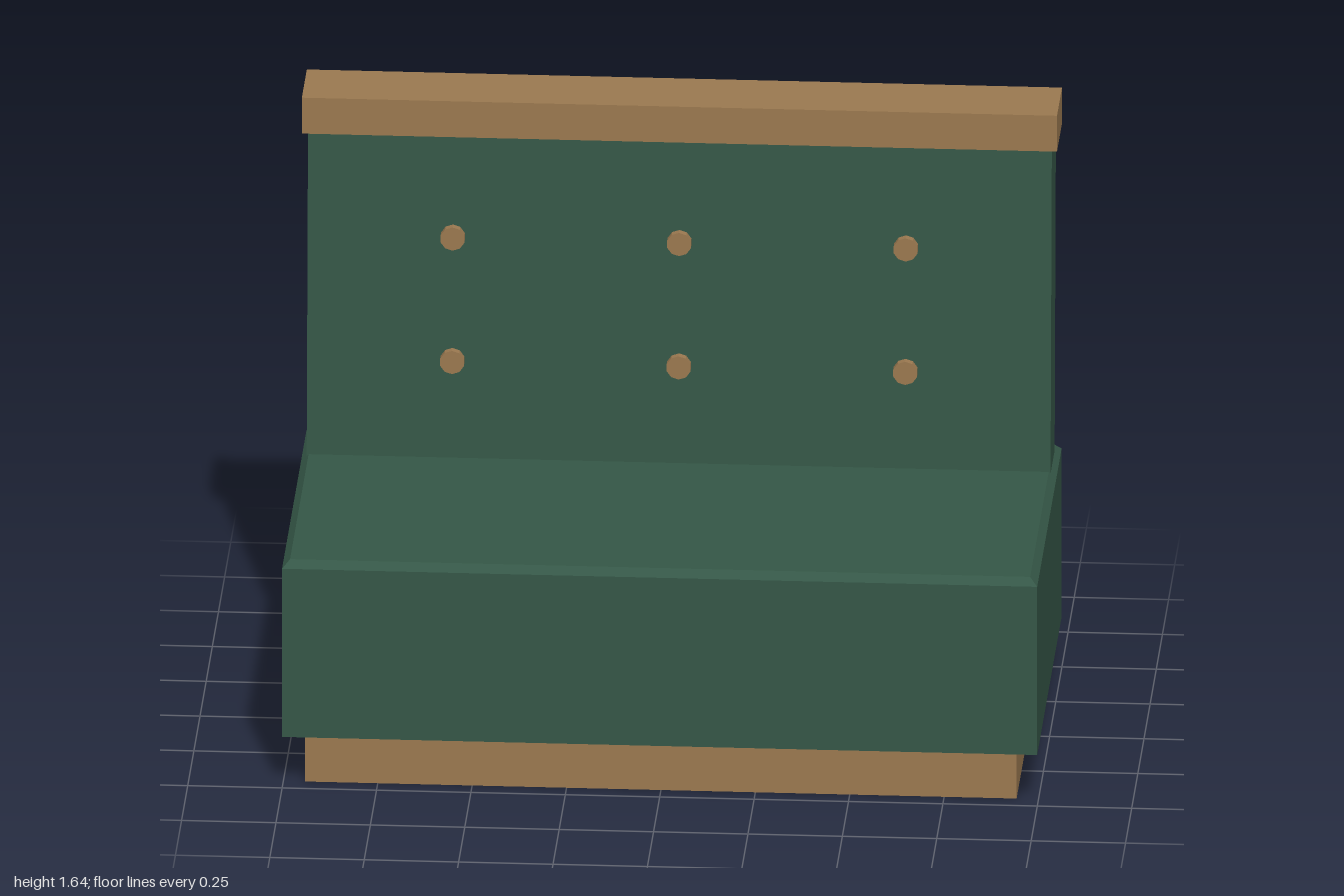
import * as THREE from 'three';

export function createModel() {
  const group = new THREE.Group();
  group.name = 'boothBench';

  const green = new THREE.MeshStandardMaterial({ color: 0x355747 });
  green.name = 'green upholstery';
  const wood = new THREE.MeshStandardMaterial({ color: 0x9b7950 });
  wood.name = 'brown wood';

  const add = (name, geometry, material) => {
    const mesh = new THREE.Mesh(geometry, material);
    mesh.name = name;
    group.add(mesh);
    return mesh;
  };

  // Box given by its limits on each axis
  const block = (x, y0, y1, z0, z1, rows = 1) =>
    new THREE.BoxGeometry(2 * x, y1 - y0, z1 - z0, 1, rows, 1)
      .translate(0, (y0 + y1) / 2, (z0 + z1) / 2);

  // Move every vertex by a rule, then refresh the flat normals
  const reshape = (geometry, rule) => {
    const flat = geometry.toNonIndexed();
    const pos = flat.attributes.position;
    const v = new THREE.Vector3();
    for (let i = 0; i < pos.count; i++) {
      rule(v.fromBufferAttribute(pos, i));
      pos.setXYZ(i, v.x, v.y, v.z);
    }
    flat.computeVertexNormals();
    return flat;
  };

  // Recessed plinth
  add('plinth', block(0.942, 0, 0.147, -0.475, 0.45), wood);

  // Seat with a chamfer around its top edge
  const seatBottom = 0.147, seatTop = 0.645, chamfer = 0.02;
  const seatMiddle = (seatBottom + seatTop) / 2, seatZ = 0.0075;
  add('seat', reshape(block(1, seatBottom, seatTop, -0.49, 0.505, 2), (v) => {
    if (v.y > seatTop - 0.001) {
      v.x -= Math.sign(v.x) * chamfer;
      v.z -= Math.sign(v.z - seatZ) * chamfer;
    } else if (Math.abs(v.y - seatMiddle) < 0.001) {
      v.y = seatTop - chamfer;
    }
  }), green);

  // Backrest leaning backwards
  const lean = 0.058;
  const frontZ = (y) => -0.269 - (y - 0.64) * lean;
  add('backrest', reshape(block(0.985, 0.63, 1.55, -0.436, -0.269), (v) => {
    v.z -= (v.y - 0.64) * lean;
  }), green);

  // Top rail
  add('topRail', block(1, 1.543, 1.645, -0.505, -0.302), wood);

  // Two rows of round buttons
  const buttonShape = reshape(
    new THREE.CylinderGeometry(0.033, 0.033, 0.04, 10).rotateX(Math.PI / 2), () => {});
  for (const y of [0.917, 1.26]) {
    for (const x of [-0.6, 0, 0.6]) {
      add('button', buttonShape, wood).position.set(x, y, frontZ(y));
    }
  }

  return group;
}
